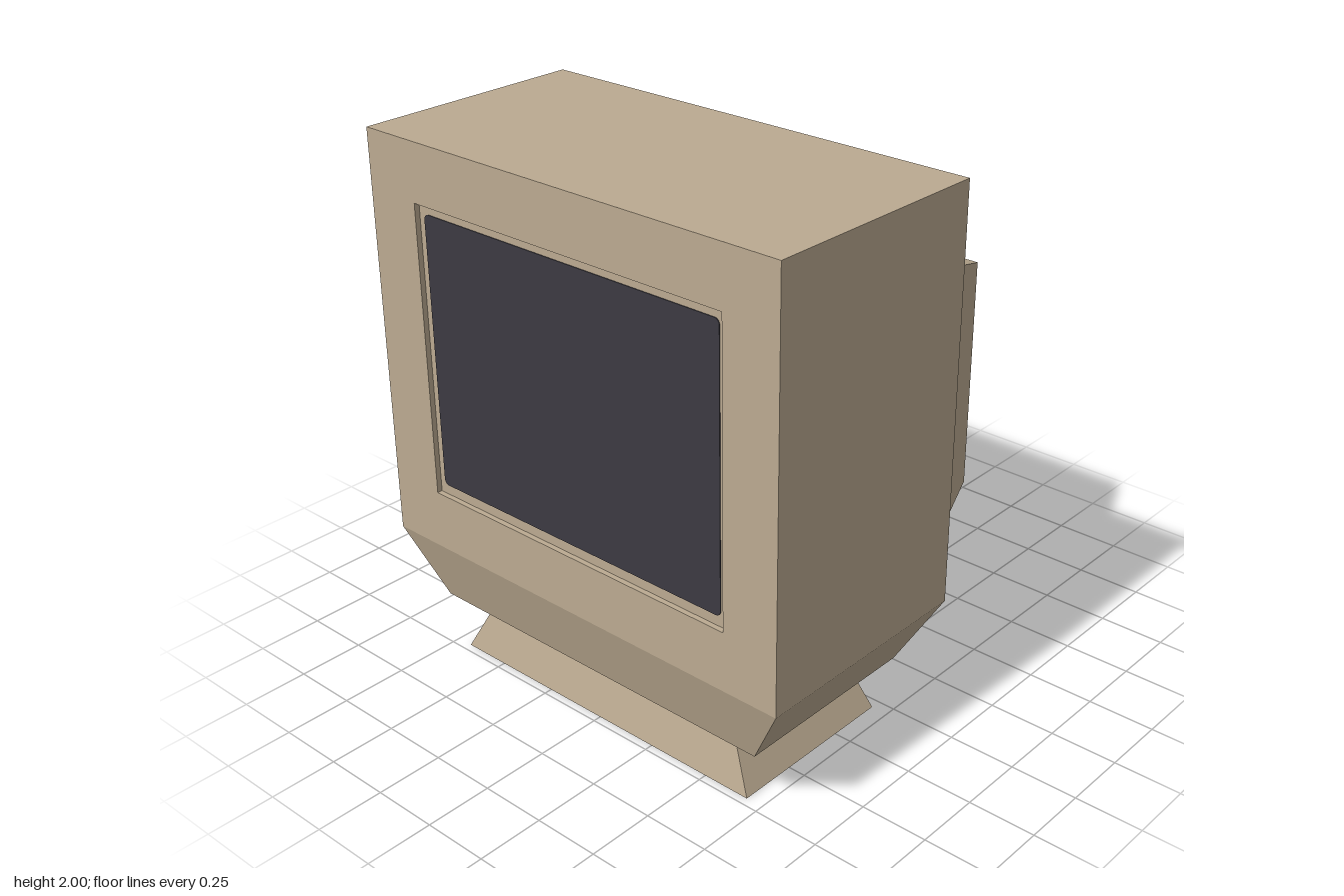
import * as THREE from 'three';

const mat = (name, color) => {
  const m = new THREE.MeshStandardMaterial({ color });
  m.name = name;
  return m;
};

// flat-faced geometry from convex polygons (counter-clockwise seen from outside)
function facetGeometry(polygons) {
  const pos = [];
  for (const p of polygons) {
    for (let i = 1; i < p.length - 1; i++) pos.push(...p[0], ...p[i], ...p[i + 1]);
  }
  const g = new THREE.BufferGeometry();
  g.setAttribute('position', new THREE.Float32BufferAttribute(pos, 3));
  g.computeVertexNormals();
  return g;
}

const flip = ([x, y, z]) => [-x, y, z];
const mirrored = (poly) => poly.map(flip).reverse();
const span = (p, q) => [p, q, flip(q), flip(p)];

function rectPath(path, w, y0, y1) {
  path.moveTo(-w, y0).lineTo(w, y0).lineTo(w, y1).lineTo(-w, y1).closePath();
  return path;
}

export function createModel() {
  const model = new THREE.Group();
  const beige = mat('beige plastic', 0xbbaa91);
  const dark = mat('dark glass', 0x3c3a42);
  const add = (name, geometry, material, z = 0) => {
    const mesh = new THREE.Mesh(geometry, material);
    mesh.name = name;
    mesh.position.z = z;
    model.add(mesh);
  };

  // casing corners on the +x half
  const frontTop = [0.893, 2, 0.825], backTop = [0.893, 2, -0.07];
  const frontLow = [0.893, 0.48, 0.825], backLow = [0.893, 0.48, -0.07];
  const footFront = [0.743, 0.217, 0.75], footBack = [0.743, 0.217, 0.005];
  const neckTop = [0.612, 1.547, -0.285], neckMid = [0.612, 0.48, -0.285], neckLow = [0.612, 0.298, -0.285];
  const rearTop = [0.446, 1.375, -0.825], rearLow = [0.446, 0.47, -0.825];

  // casing: faces spanning the width, then both sides
  const outline = [frontTop, backTop, neckTop, rearTop, rearLow, neckLow, footBack, footFront, frontLow];
  const faces = outline.slice(1).map((p, i) => span(outline[i], p));
  const sides = [
    [frontTop, frontLow, backLow, backTop],
    [frontLow, footFront, footBack, backLow],
    [backTop, backLow, neckMid, neckTop],
    [backLow, footBack, neckLow, neckMid],
    [neckTop, neckMid, neckLow, rearLow, rearTop],
  ];
  for (const s of sides) faces.push(s, mirrored(s));
  add('casing', facetGeometry(faces), beige);

  // front panel with the screen opening
  const w = 0.675, y0 = 0.7, y1 = 1.785, zf = 0.825, zr = 0.805;
  const panel = rectPath(new THREE.Shape(), 0.893, 0.48, 2);
  panel.holes.push(rectPath(new THREE.Path(), w, y0, y1));
  add('frontPanel', new THREE.ShapeGeometry(panel), beige, zf);

  // shallow recess: four walls and a floor
  const wall = [[w, y0, zf], [w, y0, zr], [w, y1, zr], [w, y1, zf]];
  wall.reverse();
  add('screenRecess', facetGeometry([
    wall.slice().reverse().map((p) => p).reverse(),
    mirrored(wall),
    span([w, y0, zf], [w, y0, zr]),
    span([w, y1, zr], [w, y1, zf]),
    span([w, y0, zr], [w, y1, zr]),
  ]), beige);

  // screen plate with small rounded corners
  const sw = 0.65, s0 = 0.738, s1 = 1.75, r = 0.02;
  const screen = new THREE.Shape();
  screen.absarc(sw - r, s0 + r, r, -Math.PI / 2, 0);
  screen.absarc(sw - r, s1 - r, r, 0, Math.PI / 2);
  screen.absarc(-sw + r, s1 - r, r, Math.PI / 2, Math.PI);
  screen.absarc(-sw + r, s0 + r, r, Math.PI, Math.PI * 1.5);
  add('screen', new THREE.ExtrudeGeometry(screen, { depth: 0.003, bevelEnabled: false, curveSegments: 4 }), dark, zr);

  // flared stand
  const a = [0.685, 0, 0.72], b = [0.685, 0, 0.04], c = [0.573, 0.22, 0.095], d = [0.573, 0.22, 0.665];
  const standSide = [a, b, c, d];
  add('stand', facetGeometry([
    span(b, a), span(a, d), span(d, c), span(c, b), standSide, mirrored(standSide),
  ]), beige);

  return model;
}
